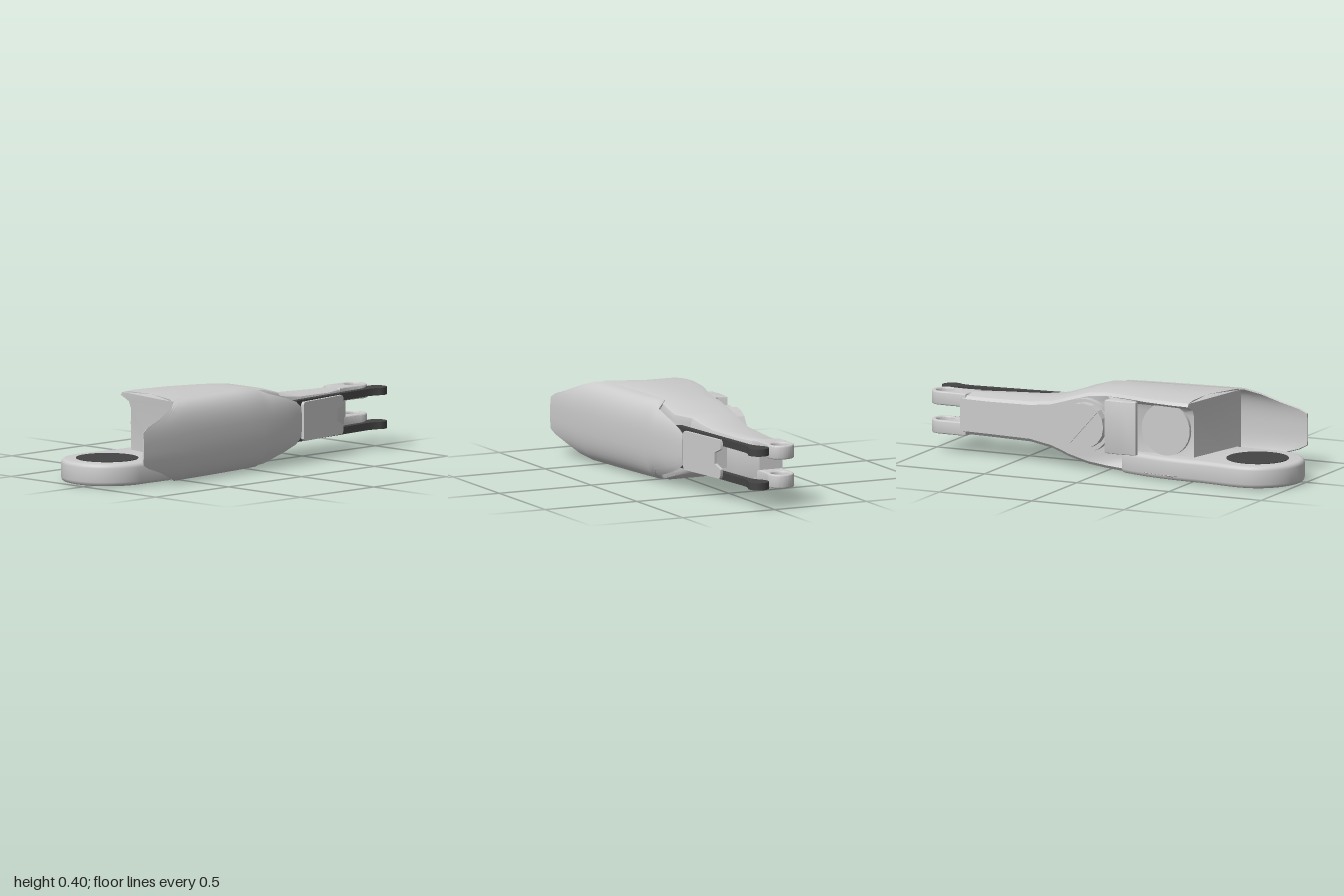
import * as THREE from 'three';
import { toCreasedNormals } from 'three/addons/utils/BufferGeometryUtils.js';

const grey = new THREE.MeshStandardMaterial({ color: 0xcccccc, side: THREE.DoubleSide });
const dark = new THREE.MeshStandardMaterial({ color: 0x444444 });

// Skin closed counter-clockwise sections [[x, y, z], ...] along +z and cap both ends
function loft(sections) {
  const n = sections[0].length, last = (sections.length - 1) * n, index = [];
  for (let i = 0; i < sections.length - 1; i++) {
    for (let j = 0; j < n; j++) {
      const a = i * n + j, b = i * n + (j + 1) % n;
      index.push(a, b, a + n, b, b + n, a + n);
    }
  }
  const cap = s => THREE.ShapeUtils.triangulateShape(s.map(p => new THREE.Vector2(p[0], p[1])), []);
  cap(sections[0]).forEach(([a, b, c]) => index.push(a, c, b));
  cap(sections[sections.length - 1]).forEach(([a, b, c]) => index.push(last + a, last + b, last + c));
  const geo = new THREE.BufferGeometry();
  geo.setAttribute('position', new THREE.Float32BufferAttribute(sections.flat(2), 3));
  geo.setIndex(index);
  return geo;
}

// Extrude a plan shape drawn in (x, -z) between two heights
function slab(shape, y0, y1, bevel = 0) {
  const geo = new THREE.ExtrudeGeometry(shape, {
    depth: y1 - y0 - 2 * bevel, curveSegments: 24, bevelEnabled: bevel > 0,
    bevelSize: bevel, bevelOffset: -bevel, bevelThickness: bevel, bevelSegments: 3,
  });
  return geo.rotateX(-Math.PI / 2).translate(0, y0 + bevel, 0);
}

const polygon = pts => new THREE.Shape(pts.map(([x, z]) => new THREE.Vector2(x, -z)));

export function createModel() {
  const model = new THREE.Group();
  const add = (name, geo, mat = grey, crease = 0.65) => {
    const mesh = new THREE.Mesh(toCreasedNormals(geo, crease), mat);
    mesh.name = name;
    model.add(mesh);
    return mesh;
  };

  // Main body: z, left x, right x, bottom, top, depth of the left-hand recess
  const bodyRows = [
    [-0.81, -0.137, -0.012, 0.1, 0.31, 0],
    [-0.65, -0.147, 0.035, 0.1, 0.31, 0],
    [-0.42, -0.16, 0.06, 0.098, 0.316, 0],
    [-0.3, -0.172, 0.07, 0.08, 0.332, 0],
    [-0.25, -0.175, 0.08, 0.064, 0.347, 0],
    [-0.2, -0.175, 0.15, 0.045, 0.362, 0],
    [-0.1, -0.17, 0.155, 0.017, 0.39, 0],
    [0, -0.175, 0.13, 0.006, 0.4, 0.01],
    [0.1, -0.2, 0.12, 0.004, 0.403, 0.03],
    [0.25, -0.245, 0.135, 0.003, 0.404, 0.07],
    [0.4, -0.268, 0.155, 0.003, 0.404, 0.085],
    [0.485, -0.262, 0.178, 0.004, 0.402, 0.07],
  ];
  add('body', loft(bodyRows.map(([z, l, r, b, t, g], i) => {
    const pts = [
      [r - 0.03, b], [r - 0.008, b + 0.008], [r, b + 0.03],
      [r, t - 0.03], [r - 0.008, t - 0.008], [r - 0.03, t],
      [(l + r) / 2, t], [l + 0.06, t - 0.001], [l + 0.012, t - 0.01], [l, t - 0.025],
      [l + g * 0.8, t - 0.05], [l + g, t - 0.08],
      [l + g, b + 0.08], [l + g * 0.8, b + 0.05],
      [l, b + 0.025], [l + 0.012, b + 0.01], [l + 0.06, b + 0.001], [(l + r) / 2, b],
    ];
    // The front edge sweeps forward on the right
    const sweep = i === bodyRows.length - 1 ? 0.075 : 0;
    return pts.map(([x, y]) => [x, y, z + sweep * THREE.MathUtils.smoothstep(x, 0, 0.18)]);
  })));

  // Outer shell: z, outermost x, section width, section half height, trimmed half height
  const shellRows = [
    [-0.33, 0.17, 0.05, 0.13, 0.075],
    [-0.29, 0.182, 0.06, 0.145, 0.105],
    [-0.2, 0.2, 0.08, 0.163, 0.135],
    [-0.09, 0.215, 0.1, 0.187, 0.165],
    [-0.03, 0.222, 0.11, 0.195, 0.195],
    [0.1, 0.233, 0.115, 0.198, 0.198],
    [0.3, 0.25, 0.115, 0.199, 0.199],
    [0.5, 0.265, 0.112, 0.199, 0.199],
    [0.57, 0.27, 0.11, 0.199, 0.196],
    [0.64, 0.275, 0.11, 0.198, 0.17],
    [0.74, 0.281, 0.11, 0.197, 0.13],
    [0.83, 0.286, 0.11, 0.196, 0.102],
    [0.87, 0.288, 0.11, 0.196, 0.08],
  ];
  const power = 0.77, steps = 20, wall = 0.008;
  add('outerShell', loft(shellRows.map(([z, xo, a, b, h]) => {
    const limit = Math.asin(Math.pow(h / b, 1 / power));
    const arc = inset => Array.from({ length: steps + 1 }, (_, i) => {
      const angle = limit * (2 * i / steps - 1), s = Math.sin(angle);
      return [
        xo - a + (a - inset) * Math.pow(Math.max(Math.cos(angle), 0), power),
        0.204 + (b - inset) * Math.sign(s) * Math.pow(Math.abs(s), power), z,
      ];
    });
    return [...arc(0), ...arc(wall).reverse()];
  })));

  // Front joint lug with a pad above and below
  const lug = new THREE.Shape();
  lug.moveTo(-0.2, -0.1);
  lug.lineTo(0.11, -0.1);
  lug.lineTo(0.165, -0.55);
  lug.absarc(-0.063, -0.77, 0.228, 0, -Math.PI, true);
  lug.bezierCurveTo(-0.291, -0.68, -0.268, -0.62, -0.268, -0.5);
  lug.bezierCurveTo(-0.268, -0.35, -0.24, -0.2, -0.2, -0.1);
  add('frontLug', slab(lug, 0.006, 0.115, 0.02));
  for (const y of [0.009, 0.112]) {
    add('lugPad', new THREE.CylinderGeometry(0.152, 0.152, 0.012, 40).translate(-0.068, y, 0.77), dark);
  }

  // Rear fork ears with pin holes
  const ear = new THREE.Shape();
  ear.moveTo(-0.137, 0.78);
  ear.lineTo(0.0, 0.76);
  ear.quadraticCurveTo(-0.02, 0.83, -0.004, 0.92);
  ear.absarc(-0.07, 0.92, 0.067, 0, Math.PI, false);
  ear.closePath();
  ear.holes.push(new THREE.Path().absarc(-0.07, 0.92, 0.045, 0, Math.PI * 2, true));
  for (const y of [0.1, 0.243]) add('forkEar', slab(ear, y, y + 0.067, 0.006));

  // Paired push rods with round heads
  const rod = new THREE.Shape();
  rod.moveTo(0.12, 0.2);
  rod.lineTo(0.15, 0.2);
  rod.lineTo(0.092, 0.85);
  rod.quadraticCurveTo(0.092, 0.89, 0.102, 0.918);
  rod.absarc(0.062, 0.948, 0.051, -0.64, Math.PI + 0.64, false);
  rod.quadraticCurveTo(0.052, 0.88, 0.058, 0.85);
  rod.closePath();
  for (const y of [0.103, 0.27]) add('pushRod', slab(rod, y, y + 0.036), dark);

  // Guard plate beside the rods, notched at its rear edge
  const guard = new THREE.Shape();
  [[-0.16, -0.085], [-0.15, -0.096], [0.15, -0.096], [0.16, -0.08], [0.16, -0.05], [0.11, -0.028],
    [0.11, 0.028], [0.16, 0.05], [0.16, 0.08], [0.15, 0.096], [-0.15, 0.096], [-0.16, 0.085]]
    .forEach(([u, v], i) => (i ? guard.lineTo(u, v) : guard.moveTo(u, v)));
  const plate = add('guardPlate', new THREE.ExtrudeGeometry(guard, { depth: 0.016, bevelEnabled: false })
    .translate(0, 0, -0.008).rotateY(Math.PI / 2));
  plate.position.set(0.14, 0.205, -0.5);
  plate.rotation.y = 0.14;
  for (const [z, x] of [[-0.56, 0.13], [-0.39, 0.15]]) {
    add('guardBracket', new THREE.BoxGeometry(x - 0.02, 0.12, 0.02).translate((x + 0.02) / 2, 0.205, z));
  }

  // Left-hand rotary hub with a slanted bar across its face
  const drum = (r, x0, x1, y, z, sides) =>
    new THREE.CylinderGeometry(r, r, x1 - x0, sides).rotateZ(Math.PI / 2).translate((x0 + x1) / 2, y, z);
  add('hubBase', drum(0.132, -0.205, -0.12, 0.225, -0.1, 32));
  add('hubCap', drum(0.112, -0.25, -0.18, 0.232, -0.09, 16), grey, 0.2);
  const bar = add('hubBar', new THREE.BoxGeometry(0.012, 0.21, 0.022));
  bar.position.set(-0.251, 0.232, -0.09);
  bar.rotation.x = 0.73;

  // Curved fin and round cover in the left recess
  add('sideFin', slab(polygon([[-0.26, 0.035], [-0.265, 0.12], [-0.255, 0.2], [-0.235, 0.2],
    [-0.17, 0.13], [-0.16, 0], [-0.21, 0.045]]), 0.11, 0.375, 0.004));
  add('recessCover', drum(0.13, -0.208, -0.12, 0.245, 0.34, 32));

  return model;
}
